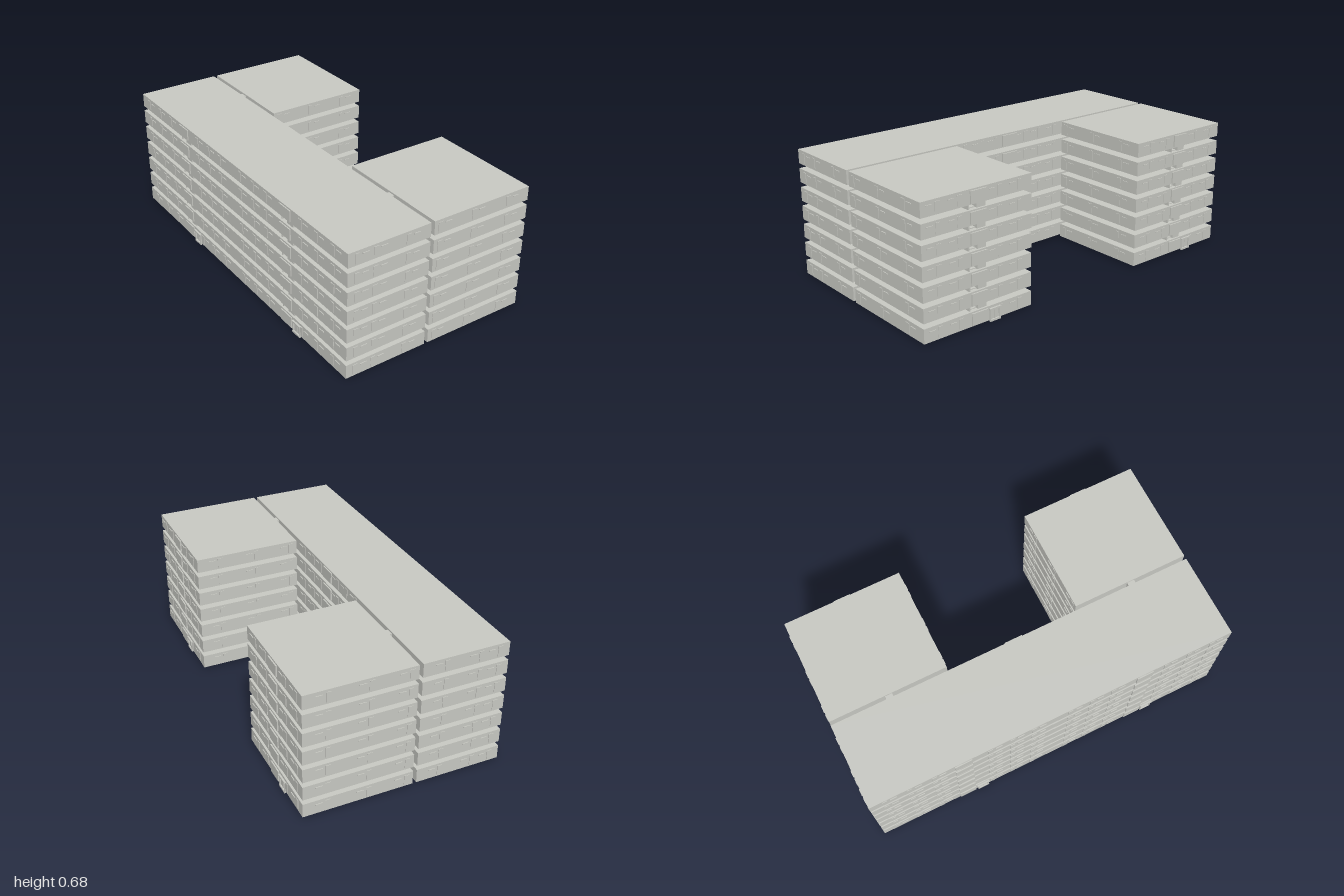
import * as THREE from 'three';
import { mergeGeometries } from 'three/addons/utils/BufferGeometryUtils.js';

const FLOORS = 7, STEP = 0.1, BASE = 0.007, SLAB = 0.074;

// Box given by its min and max corners
function box(x0, x1, y0, y1, z0, z1) {
  const g = new THREE.BoxGeometry(x1 - x0, y1 - y0, z1 - z0);
  return g.translate((x0 + x1) / 2, (y0 + y1) / 2, (z0 + z1) / 2);
}

export function createModel() {
  const concrete = new THREE.MeshStandardMaterial({ color: 0xc8c9c3 });
  concrete.name = 'concrete grey';
  const model = new THREE.Group();
  model.name = 'apartmentBlock';
  const add = (parent, name, geometry) => {
    const mesh = new THREE.Mesh(geometry, concrete);
    mesh.name = name;
    parent.add(mesh);
    return mesh;
  };

  // Facade strip: shallow window casings and sills along a wall.
  // side 'x' runs along z at x = at; side 'z' runs along x at z = at.
  function facade(side, at, out, centres) {
    const parts = [];
    const plate = (c, w, y0, y1, d) => {
      const a = Math.min(at, at + out * d), b = Math.max(at, at + out * d);
      parts.push(side === 'x'
        ? box(a, b, y0, y1, c - w / 2, c + w / 2)
        : box(c - w / 2, c + w / 2, y0, y1, a, b));
    };
    for (const c of centres) {
      plate(c - 0.015, 0.026, 0.01, 0.062, 0.003);
      plate(c + 0.03, 0.036, 0.048, 0.054, 0.004);
    }
    return parts;
  }

  const wingBays = [0.0, 0.2, 0.41];
  const barBays = [-0.46, -0.36, -0.18];
  const wingZ = [0.68, -0.68];
  const outerBays = [-0.9, -0.77, -0.64, -0.34, -0.22, -0.1, 0.1, 0.22, 0.34, 0.64, 0.77, 0.9];
  const innerBays = [-0.31, -0.2, -0.1, 0.1, 0.2, 0.31];

  // Geometry of one storey, shared by every level
  const bar = box(-0.525, -0.07, 0, SLAB, -0.996, 0.996);
  const wings = mergeGeometries([1, -1].map(s =>
    box(-0.05, 0.522, 0, SLAB, Math.min(s * 0.362, s * 0.996), Math.max(s * 0.362, s * 0.996))));
  const links = mergeGeometries(wingZ.map(z => box(-0.071, -0.049, 0.002, 0.066, z - 0.02, z + 0.02)));
  const bays = mergeGeometries([
    ...wingZ.map(z => box(0.52, 0.529, 0.006, 0.066, z - 0.046, z + 0.046)),
    ...[0.5, -0.5].map(z => box(-0.531, -0.52, 0.006, 0.066, z - 0.046, z + 0.046)),
    box(-0.072, -0.063, 0.006, 0.066, -0.048, 0.048)
  ]);
  const windows = mergeGeometries([
    ...facade('x', -0.525, -1, outerBays),
    ...facade('x', -0.07, 1, innerBays),
    ...[1, -1].flatMap(s => [
      ...facade('z', s * 0.996, s, [...barBays, ...wingBays]),
      ...facade('z', s * 0.362, -s, wingBays),
      ...facade('x', 0.522, 1, [0.45, 0.57, 0.8, 0.92].map(z => s * z))
    ])
  ]);

  for (let i = 0; i < FLOORS; i++) {
    const storey = new THREE.Group();
    storey.name = `storey${i + 1}`;
    storey.position.y = BASE + i * STEP;
    add(storey, 'longBar', bar);
    add(storey, 'wings', wings);
    add(storey, 'passageLinks', links);
    add(storey, 'bayPanels', bays);
    add(storey, 'windowCasings', windows);
    model.add(storey);
  }

  // Stair core between slabs: a lift shaft beside an open flight of steps
  const gap = STEP - SLAB;
  const coreParts = [
    box(-0.125, 0, 0, gap, -0.05, 0),
    box(-0.125, -0.11, 0, gap, 0, 0.05),
    box(-0.125, 0, 0, gap, 0.044, 0.05)
  ];
  for (let k = 0; k < 4; k++) {
    coreParts.push(box(-0.11 + k * 0.024, -0.086 + k * 0.024, 0, gap - (k + 1) * 0.0055, 0, 0.044));
  }
  const core = mergeGeometries(coreParts);
  const places = [
    ...wingZ.map(z => [0.512, z, 0]),
    ...[0.5, -0.5].map(z => [-0.515, z, Math.PI])
  ];
  places.forEach(([x, z, turn]) => {
    for (let i = 0; i < FLOORS - 1; i++) {
      const mesh = add(model, 'stairCore', core);
      mesh.position.set(x, BASE + SLAB + i * STEP, z);
      mesh.rotation.y = turn;
    }
  });

  // Ground floor entrances: jambs, canopy and doorstep
  const entrance = mergeGeometries([
    box(0, 0.008, 0, 0.066, -0.032, -0.025),
    box(0, 0.008, 0, 0.066, 0.025, 0.032),
    box(0, 0.011, 0.06, 0.068, -0.034, 0.034),
    box(0, 0.009, 0, 0.01, -0.032, 0.032),
    box(0, 0.003, 0.01, 0.06, -0.003, 0.003)
  ]);
  places.forEach(([x, z, turn]) => {
    const s = Math.sign(x);
    const mesh = add(model, 'entrance', entrance);
    mesh.position.set(s > 0 ? 0.521 : -0.524, 0, z - s * 0.09);
    mesh.rotation.y = turn;
  });

  return model;
}
